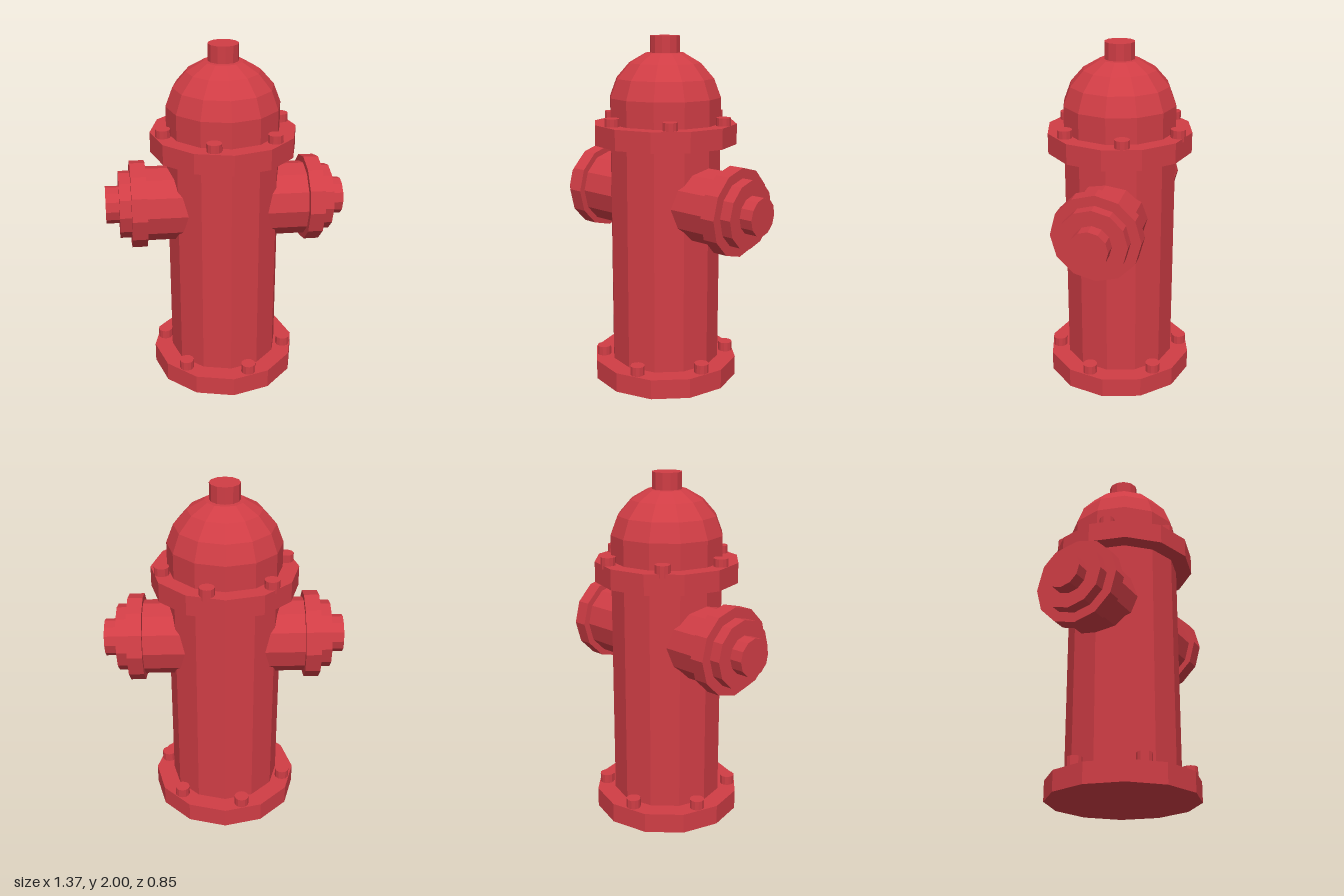
import * as THREE from 'three';

const SIDES = 12;

export function createModel() {
  const red = new THREE.MeshStandardMaterial({ color: 0xd03d45, flatShading: true });
  red.name = 'hydrantRed';

  const hydrant = new THREE.Group();
  hydrant.name = 'fireHydrant';

  function add(parent, name, geometry) {
    const mesh = new THREE.Mesh(geometry, red);
    mesh.name = name;
    parent.add(mesh);
    return mesh;
  }

  // Upright twelve-sided drum between two heights
  function drum(parent, name, radius, y0, y1) {
    const mesh = add(parent, name, new THREE.CylinderGeometry(radius, radius, y1 - y0, SIDES));
    mesh.position.y = (y0 + y1) / 2;
    return mesh;
  }

  // Ring of six bolt heads standing on a flange
  function boltRing(parent, name, radius, y0, y1, startDegrees) {
    const ring = new THREE.Group();
    ring.name = name;
    for (let i = 0; i < 6; i++) {
      const a = THREE.MathUtils.degToRad(startDegrees + i * 60);
      const bolt = drum(ring, 'bolt', 0.042, y0 - 0.02, y1);
      bolt.position.x = radius * Math.cos(a);
      bolt.position.z = radius * Math.sin(a);
    }
    parent.add(ring);
    return ring;
  }

  // Barrel with its base and upper flanges
  const column = new THREE.Group();
  column.name = 'column';
  column.position.x = -0.005;
  hydrant.add(column);
  drum(column, 'baseFlange', 0.427, 0, 0.115);
  drum(column, 'barrel', 0.32, 0.1, 1.42);
  drum(column, 'upperFlange', 0.412, 1.4, 1.515);

  // Domed cap and the operating nut on top
  const profile = [
    [0.32, 1.5], [0.32, 1.66], [0.28, 1.765], [0.205, 1.85], [0.11, 1.905], [0, 1.91],
  ].map(([r, y]) => new THREE.Vector2(r, y));
  add(column, 'dome', new THREE.LatheGeometry(profile, SIDES));
  drum(column, 'topNut', 0.085, 1.88, 2);

  boltRing(column, 'baseBolts', 0.367, 0.115, 0.168, 14.6);
  boltRing(column, 'upperBolts', 0.355, 1.515, 1.56, -14.3).position.z = -0.008;

  // Side outlets: pipe, collar, cap and nut on one slightly tilted axis
  const outlets = new THREE.Group();
  outlets.name = 'outlets';
  outlets.position.y = 1.078;
  outlets.rotation.z = -0.018;
  hydrant.add(outlets);
  for (const [name, side] of [['leftOutlet', 1], ['rightOutlet', -1]]) {
    const outlet = new THREE.Group();
    outlet.name = name;
    outlet.rotation.z = -side * Math.PI / 2;
    drum(outlet, 'pipe', 0.213, 0.15, 0.47);
    drum(outlet, 'collar', 0.249, 0.456, 0.542);
    drum(outlet, 'cap', 0.192, 0.53, 0.607);
    drum(outlet, 'capNut', 0.107, 0.59, 0.683);
    outlets.add(outlet);
  }

  return hydrant;
}
